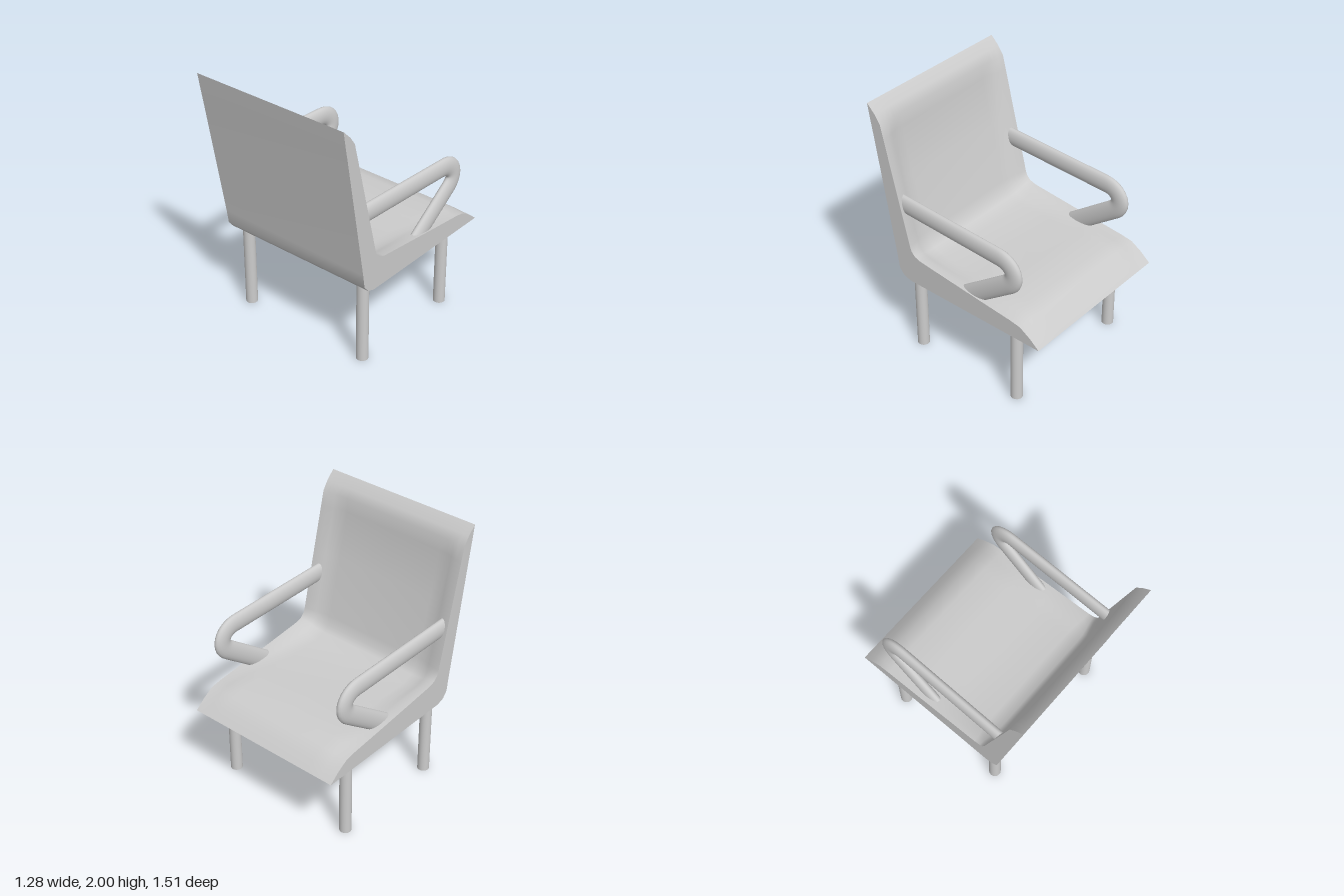
import * as THREE from 'three';
import { toCreasedNormals } from 'three/addons/utils/BufferGeometryUtils.js';

const material = new THREE.MeshStandardMaterial({ color: 0xcccccc });

function addMesh(parent, name, geometry, x = 0, y = 0, z = 0) {
  const mesh = new THREE.Mesh(geometry, material);
  mesh.name = name;
  mesh.position.set(x, y, z);
  parent.add(mesh);
  return mesh;
}

// Stations from seat lip to backrest top: [z, y] of outer shell, side rim, dished centre
const STATIONS = [
  [[-0.755, 0.64], [-0.755, 0.641], [-0.755, 0.641]],
  [[-0.70, 0.64], [-0.68, 0.705], [-0.69, 0.705]],
  [[-0.60, 0.64], [-0.59, 0.76], [-0.60, 0.772]],
  [[-0.50, 0.64], [-0.50, 0.775], [-0.50, 0.80]],
  [[-0.25, 0.64], [-0.25, 0.80], [-0.25, 0.80]],
  [[0.00, 0.64], [0.00, 0.827], [0.00, 0.80]],
  [[0.30, 0.64], [0.33, 0.863], [0.30, 0.805]],
  [[0.44, 0.64], [0.38, 0.88], [0.40, 0.83]],
  [[0.50, 0.66], [0.41, 0.91], [0.44, 0.875]],
  [[0.54, 0.71], [0.425, 0.95], [0.46, 0.95]],
  [[0.556, 0.82], [0.444, 1.03], [0.485, 1.03]],
  [[0.656, 1.40], [0.535, 1.40], [0.58, 1.40]],
  [[0.718, 1.76], [0.623, 1.76], [0.662, 1.76]],
  [[0.738, 1.87], [0.65, 1.87], [0.66, 1.87]],
  [[0.75, 1.94], [0.695, 1.935], [0.695, 1.935]],
  [[0.76, 2.0], [0.759, 2.0], [0.759, 2.0]],
];

// Columns across the inner face: [x, blend from rim to centre]
const HALF = [[0.64, 0], [0.59, 0.12], [0.54, 0.5], [0.49, 0.88], [0.42, 1]];
const COLUMNS = [...HALF.map(([x, t]) => [-x, t]), [0, 1], ...HALF.slice().reverse()];

// One-piece seat and backrest, lofted through closed rings
function shellGeometry() {
  const positions = [], index = [];
  for (const [outer, rim, centre] of STATIONS) {
    for (const [x, t] of COLUMNS) {
      positions.push(x, THREE.MathUtils.lerp(rim[1], centre[1], t), THREE.MathUtils.lerp(rim[0], centre[0], t));
    }
    for (const x of [0.64, -0.64]) positions.push(x, outer[1], outer[0]);
  }
  const n = COLUMNS.length + 2;
  for (let i = 0; i < STATIONS.length - 1; i++) {
    for (let j = 0; j < n; j++) {
      const k = (j + 1) % n;
      const a = i * n + j, b = a + n, c = i * n + k, d = c + n;
      index.push(a, b, c, b, d, c);
    }
  }
  const geometry = new THREE.BufferGeometry();
  geometry.setAttribute('position', new THREE.Float32BufferAttribute(positions, 3));
  geometry.setIndex(index);
  return toCreasedNormals(geometry, 0.7);
}

// Armrest: straight bar, tight bend, diagonal strut; flattened to an oval section
function armGeometry() {
  const v = (z, y) => new THREE.Vector3(0, y, z);
  const path = new THREE.CurvePath();
  path.add(new THREE.LineCurve3(v(0.56, 1.25), v(-0.38, 1.225)));
  path.add(new THREE.CubicBezierCurve3(v(-0.38, 1.225), v(-0.50, 1.222), v(-0.56, 1.11), v(-0.46, 1.035)));
  path.add(new THREE.LineCurve3(v(-0.46, 1.035), v(-0.10, 0.765)));
  return new THREE.TubeGeometry(path, 72, 0.073, 20).scale(0.5, 1, 1);
}

export function createModel() {
  const chair = new THREE.Group();
  chair.name = 'armchair';

  addMesh(chair, 'seatAndBackrest', shellGeometry());

  const arm = armGeometry();
  addMesh(chair, 'leftArmrest', arm, 0.59, 0, 0.01).rotation.y = -0.018;
  addMesh(chair, 'rightArmrest', arm, -0.57, 0, -0.01).rotation.y = -0.022;

  // Four round legs
  const leg = new THREE.CylinderGeometry(0.045, 0.045, 0.66, 24);
  for (const x of [-0.54, 0.54]) {
    const side = x > 0 ? 'left' : 'right';
    addMesh(chair, side + 'RearLeg', leg, x, 0.33, 0.435);
    addMesh(chair, side + 'FrontLeg', leg, x, 0.33, -0.48);
  }
  return chair;
}
